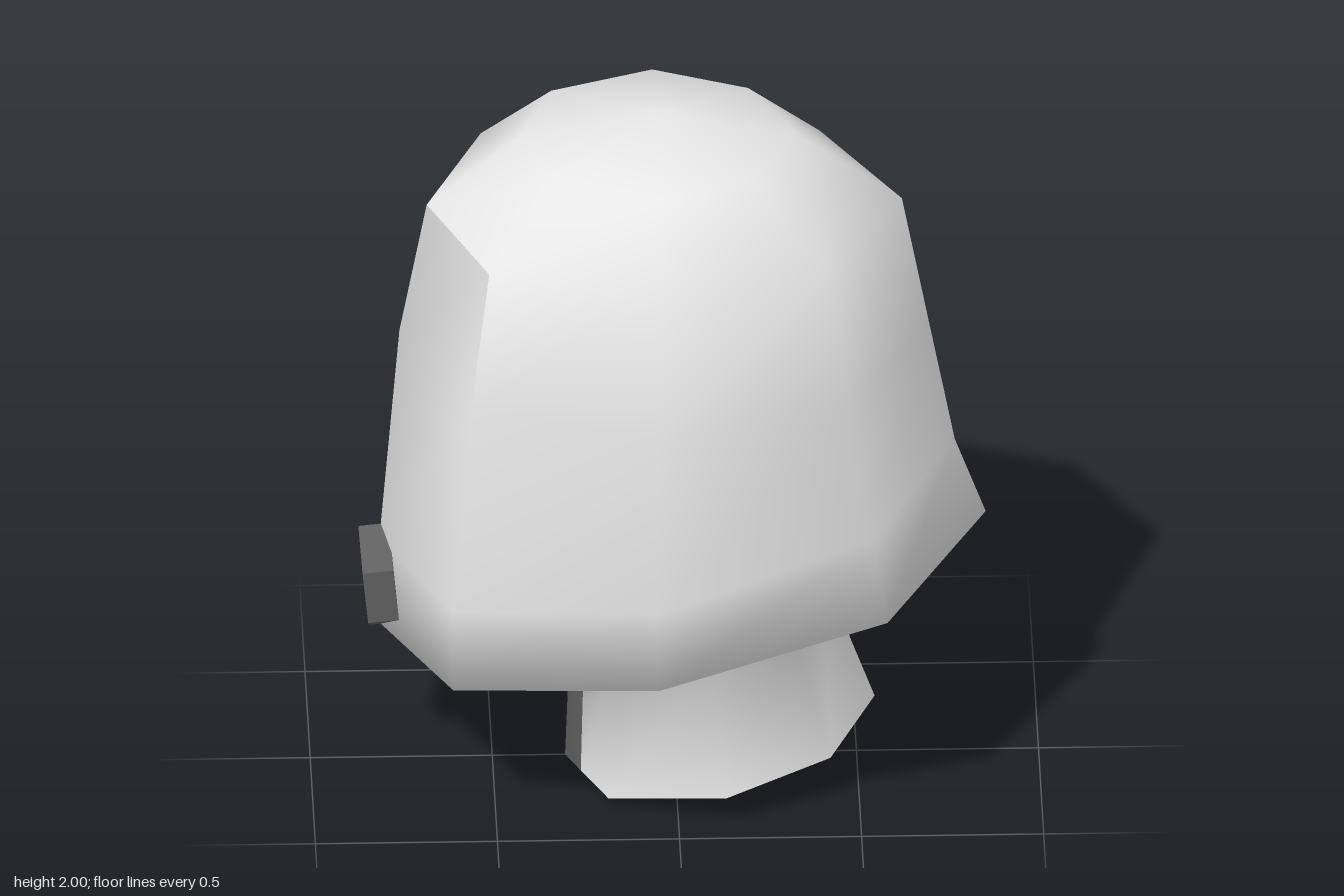
import * as THREE from 'three';
import { toCreasedNormals } from 'three/addons/utils/BufferGeometryUtils.js';

// Mirror half an outline [x, z] (from +x round to -x) and lift it with height(x).
function ring(half, height) {
  const back = half.filter(([, z]) => z > 0).reverse().map(([x, z]) => [x, -z]);
  return [...half, ...back].map(([x, z]) => [x, height(x), z]);
}

// Join closed rings, listed so that the surface faces outward; keep(row, col) picks the faces.
function loft(rings, keep = () => true) {
  const n = rings[0].length;
  const index = [];
  for (let r = 0; r < rings.length - 1; r++) {
    for (let j = 0; j < n; j++) {
      if (!keep(r, j)) continue;
      const a = r * n + j, b = r * n + (j + 1) % n;
      index.push(a, a + n, b, b, a + n, b + n);
    }
  }
  const g = new THREE.BufferGeometry();
  g.setAttribute('position', new THREE.Float32BufferAttribute(rings.flat(2), 3));
  g.setIndex(index);
  return toCreasedNormals(g, Math.PI); // smooth everywhere
}

// Blend target's shading into source's along the vertices they share below a height.
function blendNormals(target, source, below) {
  const p = target.attributes.position, q = source.attributes.position;
  for (let i = 0; i < p.count; i++) {
    if (p.getY(i) > below) continue;
    for (let k = 0; k < q.count; k++) {
      const d = Math.hypot(p.getX(i) - q.getX(k), p.getY(i) - q.getY(k), p.getZ(i) - q.getZ(k));
      if (d > 1e-4) continue;
      const n = source.attributes.normal;
      target.attributes.normal.setXYZ(i, n.getX(k), n.getY(k), n.getZ(k));
      break;
    }
  }
}

export function createModel() {
  const group = new THREE.Group();
  const material = (name, color) => {
    const m = new THREE.MeshStandardMaterial({ color, side: THREE.DoubleSide });
    m.name = name;
    return m;
  };
  const light = material('light grey', 0xe7e7e7);
  const dark = material('dark grey', 0x606060);
  const add = (name, geometry, mat) => {
    const mesh = new THREE.Mesh(geometry, mat);
    mesh.name = name;
    group.add(mesh);
    return mesh;
  };
  const level = (y) => () => y;
  const slope = (y, k) => (x) => y + k * x;

  const rimOutline = [[0.855, 0], [0.57, 0.54], [-0.06, 0.69], [-0.62, 0.47], [-0.81, 0]];
  const inset = (s) => rimOutline.map(([x, z]) => [x * s, z * s]);
  const rimHeight = slope(0.577, 0.193);
  const ceilingHeight = slope(0.68, 0.193);
  const innerRim = ring(inset(0.9), rimHeight);

  // Bell-shaped shell, eight-sided, rounded under at its slanted lower edge
  const shellRings = [
    innerRim,
    ring(rimOutline, rimHeight),
    ring([[0.77, 0], [0.53, 0.51], [-0.06, 0.72], [-0.62, 0.5], [-0.81, 0]], slope(0.83, 0.18)),
    ring([[0.7, 0], [0.47, 0.46], [-0.06, 0.655], [-0.57, 0.455], [-0.755, 0]], level(1.33)),
    ring([[0.625, 0], [0.41, 0.4], [-0.06, 0.59], [-0.52, 0.41], [-0.68, 0]], level(1.72)),
    ring([[0.335, 0], [0.21, 0.27], [-0.05, 0.385], [-0.33, 0.27], [-0.43, 0]], level(1.925)),
  ];
  shellRings.push(innerRim.map(() => [-0.04, 2, 0]));
  const isPanel = (r, j) => r === 3 && (j === 3 || j === 4);
  const shell = loft(shellRings, (r, j) => !isPanel(r, j));
  add('shell', shell, light);

  // Panel at the -x side: sharp at its top and fading into the shell below
  const panel = loft(shellRings, isPanel);
  blendNormals(panel, shell, 1.5);
  add('sidePanel', panel, light);

  // Dark wall inside the rim
  add('innerWall', loft([ring(inset(0.86), ceilingHeight), innerRim]), dark);

  // Hollow neck with a slanted foot, flaring out into the ceiling of the shell
  const ceiling = inset(0.86);
  const [sideCorner, backCorner] = ceiling.slice(3);
  ceiling.splice(4, 0, sideCorner.map((v, i) => v * 0.25 + backCorner[i] * 0.75));
  const neckRings = [
    ring([[0.55, 0], [0.42, 0.31], [0.13, 0.43], [-0.19, 0.3], [-0.26, 0.11], [-0.3, 0]], slope(0.062, 0.2)),
    ring([[0.41, 0], [0.31, 0.27], [0.08, 0.365], [-0.18, 0.26], [-0.25, 0.1], [-0.285, 0]], slope(0.467, 0.2)),
    ring(ceiling, ceilingHeight),
  ];
  const isStrip = (r, j) => r === 0 && (j === 4 || j === 5);
  add('neck', loft(neckRings, (r, j) => !isStrip(r, j)), light);
  add('neckStrip', loft(neckRings, isStrip), dark);

  // Six-sided knob low on the -x side, one corner up
  const knobShape = new THREE.CylinderGeometry(0.155, 0.155, 0.085, 6, 1, false, Math.PI / 2).toNonIndexed();
  knobShape.computeVertexNormals();
  const knob = add('knob', knobShape, dark);
  knob.rotation.z = Math.PI / 2 + 0.1;
  knob.position.set(-0.81, 0.572, 0);

  return group;
}
